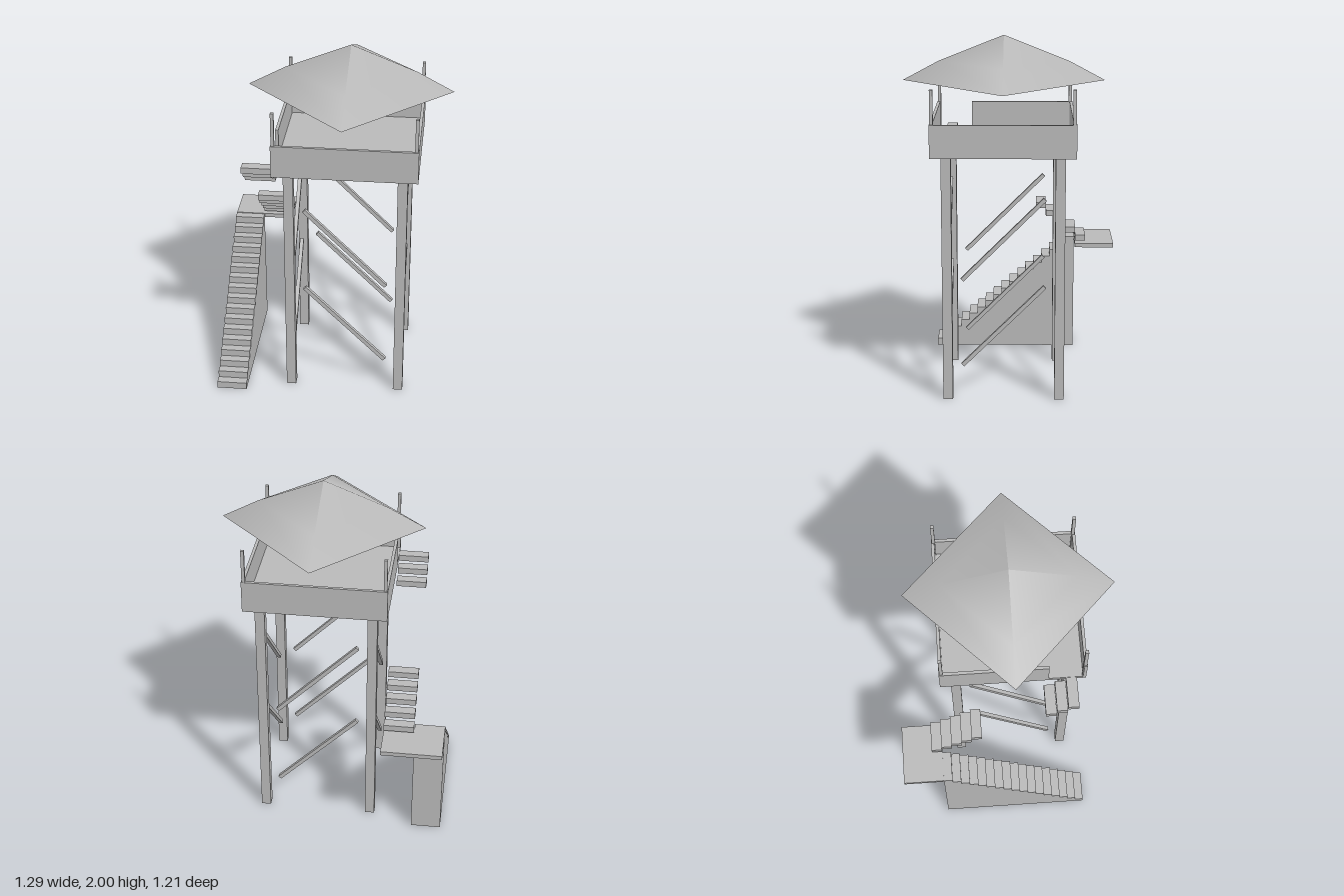
import * as THREE from 'three';

const CX = 0.083, CZ = 0.043; // tower axis

export function createModel() {
  const model = new THREE.Group();
  model.name = 'watchtower';
  const grey = new THREE.MeshStandardMaterial({ color: 0xbababa });
  grey.name = 'plain grey';

  const add = (name, geometry, parent = model) => {
    const mesh = new THREE.Mesh(geometry, grey);
    mesh.name = name;
    parent.add(mesh);
    return mesh;
  };
  // Box given by its limits on each axis
  const box = (name, x0, x1, y0, y1, z0, z1, parent) => {
    const mesh = add(name, new THREE.BoxGeometry(x1 - x0, y1 - y0, z1 - z0), parent);
    mesh.position.set((x0 + x1) / 2, (y0 + y1) / 2, (z0 + z1) / 2);
    return mesh;
  };

  const tower = new THREE.Group();
  tower.name = 'tower';
  tower.position.set(CX, 0, CZ);
  model.add(tower);

  // Legs and slim roof posts at the four corners
  for (const sx of [-1, 1]) {
    for (const sz of [-1, 1]) {
      const lx = sx * 0.31, lz = sz * 0.31, px = sx * 0.381, pz = sz * 0.381;
      box('leg', lx - 0.027, lx + 0.027, 0, 1.39, lz - 0.027, lz + 0.027, tower);
      box('roofPost', px - 0.009, px + 0.009, 1.4, 1.755, pz - 0.009, pz + 0.009, tower);
    }
  }

  // Two parallel diagonal braces on every side
  for (const y of [0.4225, 0.9175]) {
    for (const s of [-1, 1]) {
      const across = add('brace', new THREE.BoxGeometry(0.643, 0.022, 0.022), tower);
      across.position.set(0, y, s * 0.31);
      across.rotation.z = -Math.PI / 4;
      const along = add('brace', new THREE.BoxGeometry(0.022, 0.022, 0.643), tower);
      along.position.set(s * 0.31, y, 0);
      along.rotation.x = Math.PI / 4;
    }
  }

  // Platform floor and parapet, with an opening where the stair arrives
  const H = 0.394, T = 0.017, top = 1.567, floorTop = 1.41;
  box('floor', -H, H, 1.385, floorTop, -H, H, tower);
  box('frontParapet', -H, H, floorTop, top, H - T, H, tower);
  box('backParapet', -H, H, floorTop, top, -H, -H + T, tower);
  box('leftParapet', H - T, H, floorTop, top, -H + T, H - T, tower);
  box('rightParapet', -H, -H + T, floorTop, top, -H + T, 0.192, tower);

  // Four-sided roof turned corner-forward, closed underneath
  const profile = [[0.56, 1.75], [0.36, 1.857], [0, 2]].map(([r, y]) => new THREE.Vector2(r, y));
  add('roof', new THREE.LatheGeometry(profile, 4), tower);
  const soffit = add('roofUnderside', new THREE.CircleGeometry(0.56, 4), tower);
  soffit.rotation.x = Math.PI / 2;
  soffit.position.y = 1.75;

  // Solid lower flight: a stepped outline extruded across its width
  const steps = 17, rise = 0.7 / steps, run = 0.84 / steps, zFoot = 0.465;
  const outline = new THREE.Shape();
  outline.moveTo(-zFoot, 0);
  for (let i = 0; i < steps; i++) {
    outline.lineTo(-zFoot + i * run, (i + 1) * rise);
    outline.lineTo(-zFoot + (i + 1) * run, (i + 1) * rise);
  }
  outline.lineTo(-zFoot + steps * run, 0);
  outline.closePath();
  const flight = add('lowerStair', new THREE.ExtrudeGeometry(outline, { depth: 0.17, bevelEnabled: false }));
  flight.rotation.y = Math.PI / 2;
  flight.position.x = -0.65;

  // Landing, then floating treads with the middle ones missing
  box('landing', -0.65, -0.311, 0.68, 0.704, -0.605, -0.375);
  for (const i of [0, 1, 2, 3, 4, 11, 12, 13]) {
    const z = -0.435 + i * 0.0587, y = 0.757 + i * 0.05;
    box('tread', -0.48, -0.311, y - 0.035, y, z, z + 0.0587);
  }
  return model;
}
